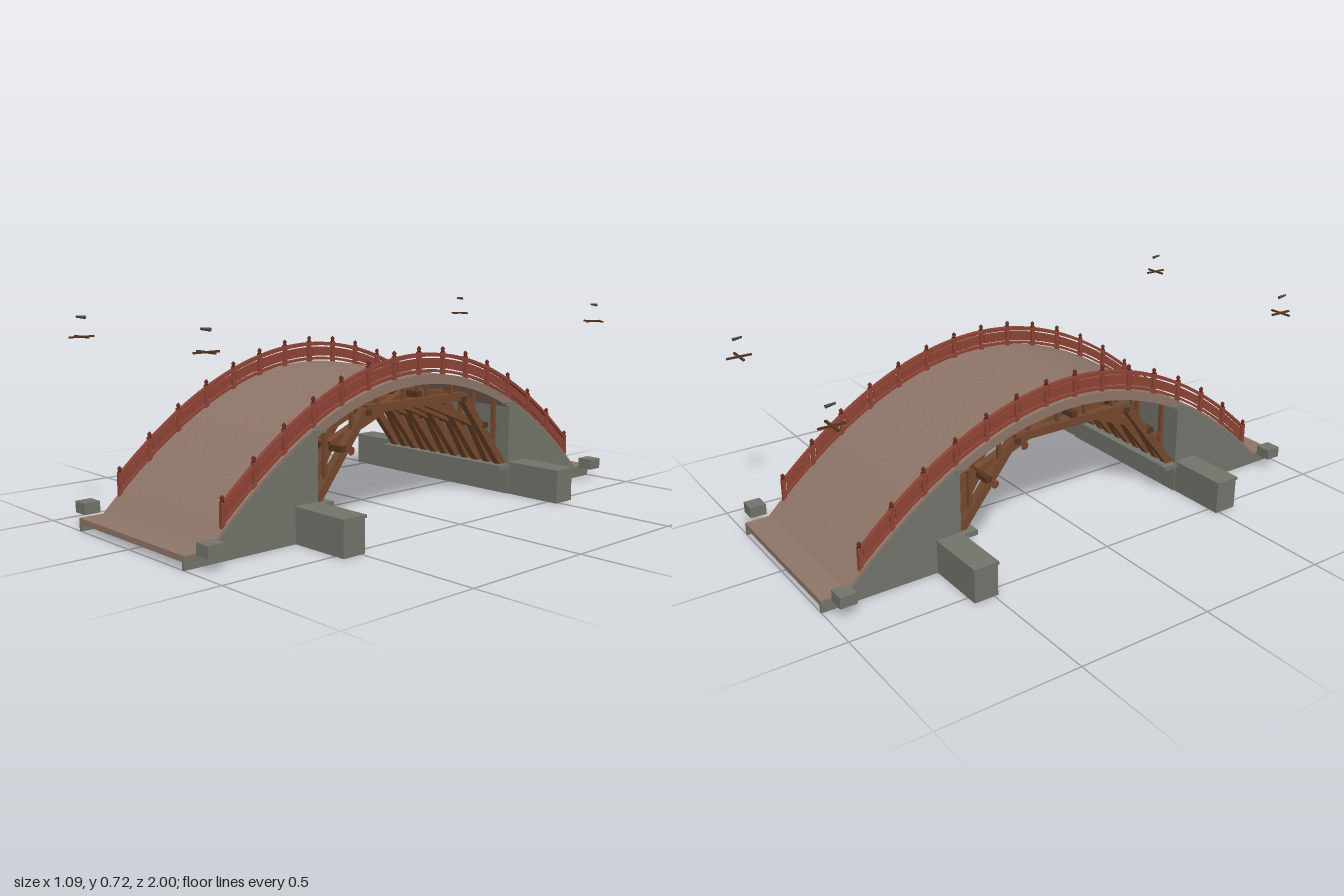
import * as THREE from 'three';
import { mergeGeometries } from 'three/addons/utils/BufferGeometryUtils.js';

const mat = (name, color, side = THREE.FrontSide) => {
  const m = new THREE.MeshStandardMaterial({ color, side });
  m.name = name;
  return m;
};

// height of the walking surface along the bridge
const arc = z => 0.5 - 0.55 * z * z;

const box = (x0, x1, y0, y1, z0, z1) =>
  new THREE.BoxGeometry(x1 - x0, y1 - y0, z1 - z0)
    .translate((x0 + x1) / 2, (y0 + y1) / 2, (z0 + z1) / 2);

// side profile of [z, y] points, extruded across x
const slab = (pts, x0, x1) => {
  const shape = new THREE.Shape(pts.map(p => new THREE.Vector2(p[0], p[1])));
  return new THREE.ExtrudeGeometry(shape, { depth: x1 - x0, bevelEnabled: false })
    .rotateY(-Math.PI / 2).translate(x1, 0, 0);
};

const curvePoints = (z0, z1, off, n) =>
  Array.from({ length: n + 1 }, (_, i) => {
    const z = z0 + (z1 - z0) * i / n;
    return [z, arc(z) + off];
  });

// band following the arch between two height offsets
const band = (z0, z1, lo, hi, x0, x1, n) =>
  slab([...curvePoints(z0, z1, lo, n), ...curvePoints(z1, z0, hi, n)], x0, x1);

// straight timber between two [z, y] points
const beam = (a, b, x, w, h) => {
  const dz = b[0] - a[0], dy = b[1] - a[1];
  return new THREE.BoxGeometry(w, h, Math.hypot(dz, dy))
    .rotateX(-Math.atan2(dy, dz))
    .translate(x, (a[1] + b[1]) / 2, (a[0] + b[0]) / 2);
};

export function createModel() {
  const root = new THREE.Group();
  root.name = 'archBridge';
  const paving = mat('paving', 0x8e7568);
  const stone = mat('stone', 0x72736a);
  const red = mat('redPaint', 0x8e4335);
  const darkRed = mat('darkRedPaint', 0x6a2c22);
  const wood = mat('wood', 0x73482e);
  const darkWood = mat('darkWood', 0x553420);
  const disc = mat('beamEnd', 0x7a4030, THREE.DoubleSide);
  const iron = mat('iron', 0x4a4a48);
  // merge the pieces of one part; extrusions have no index, so drop it everywhere
  const add = (name, parts, material) => {
    const pieces = parts.map(g => (g.index ? g.toNonIndexed() : g));
    const mesh = new THREE.Mesh(mergeGeometries(pieces), material);
    mesh.name = name;
    root.add(mesh);
  };

  // deck with paving courses and flat landings
  add('deck', [band(-0.91, 0.91, -0.035, -0.004, -0.31, 0.31, 48)], paving);
  const courses = [];
  const rows = 64;
  for (let i = 0; i < rows; i++) {
    const z0 = -0.91 + 1.82 * i / rows, z1 = z0 + 1.82 / rows;
    courses.push(beam([z0, arc(z0) - 0.003], [z1, arc(z1) - 0.003], 0, 0.62, 0.006));
  }
  add('pavingCourses', courses, paving);
  add('landings', [-1, 1].map(s => box(-0.31, 0.31, 0.025, 0.045, s * 0.95 - 0.05, s * 0.95 + 0.05)), paving);

  // hollow abutments, footings and ledges
  const walls = [], footings = [], ledges = [], blocks = [], strips = [];
  for (const s of [-1, 1]) {
    const span = (x0, x1, y0, y1, a, b) => box(x0, x1, y0, y1, Math.min(s * a, s * b), Math.max(s * a, s * b));
    const outline = [[0.48, 0], [1, 0], [1, 0.04], [0.91, 0.04], ...curvePoints(0.9, 0.48, -0.01, 12)]
      .map(([z, y]) => [s * z, y]);
    for (const x of [-0.305, 0.305]) walls.push(slab(outline, x - 0.006, x + 0.006));
    walls.push(span(-0.31, 0.31, 0, 0.36, 0.48, 0.5));
    walls.push(band(s * 0.49, s * 0.88, -0.05, -0.034, -0.3, 0.3, 12));
    footings.push(span(-0.54, 0.54, 0, 0.118, 0.485, 0.575));
    footings.push(span(-0.545, 0.545, 0.115, 0.125, 0.482, 0.578));
    ledges.push(span(-0.32, 0.32, 0.1, 0.118, 0.42, 0.485));
    for (const m of [-1, 1]) {
      ledges.push(box(m * 0.312 - 0.008, m * 0.312 + 0.008, 0.35, 0.36, s * 0.475 - 0.025, s * 0.475 + 0.025));
      blocks.push(box(m * 0.36 - 0.03, m * 0.36 + 0.03, 0.045, 0.085, s * 0.94 - 0.03, s * 0.94 + 0.03));
    }
    for (const z of [0.92, 0.95, 0.98]) strips.push(span(-0.295, 0.295, 0.018, 0.026, z - 0.006, z + 0.006));
  }
  add('abutmentWalls', walls, stone);
  add('footings', footings, stone);
  add('ledges', ledges, stone);
  add('cornerBlocks', blocks, stone);
  add('landingBattens', strips, darkWood);

  // railings: posts with finials, panels between rails
  const posts = [], finials = [], panels = [], rails = [], bays = 14, step = 1.7 / bays;
  const knob = new THREE.LatheGeometry([
    [0, 0], [0.008, 0], [0.005, 0.005], [0.008, 0.011], [0.006, 0.016], [0, 0.022],
  ].map(p => new THREE.Vector2(p[0], p[1])), 8);
  for (const x of [-0.297, 0.297]) {
    for (let i = 0; i <= bays; i++) {
      const z = -0.85 + step * i, y = arc(z);
      posts.push(box(x - 0.007, x + 0.007, y - 0.005, y + 0.08, z - 0.007, z + 0.007));
      finials.push(knob.clone().translate(x, y + 0.079, z));
      if (i < bays) panels.push(band(z + 0.013, z + step - 0.013, 0.021, 0.056, x - 0.004, x + 0.004, 4));
    }
    rails.push(band(-0.85, 0.85, 0.062, 0.075, x - 0.008, x + 0.008, 56));
    rails.push(band(-0.85, 0.85, 0.006, 0.016, x - 0.006, x + 0.006, 56));
  }
  add('railingPosts', posts, red);
  add('postFinials', finials, darkRed);
  add('railingPanels', panels, red);
  add('rails', rails, red);

  // interlaced timber arch: two alternating frame shapes
  const flatFrame = [[-0.47, 0.115], [-0.245, 0.4], [0.245, 0.4], [0.47, 0.115]];
  const peakFrame = [[-0.47, 0.115], [-0.36, 0.285], [0, 0.428], [0.36, 0.285], [0.47, 0.115]];
  const timbers = [], props = [], ties = [], ends = [];
  for (let i = 0; i < 11; i++) {
    const x = -0.28 + 0.056 * i, path = i % 2 ? peakFrame : flatFrame;
    for (let k = 1; k < path.length; k++) timbers.push(beam(path[k - 1], path[k], x, 0.03, 0.03));
  }
  // short props carrying the deck, on the outer and middle frames
  for (const x of [-0.28, -0.112, 0.112, 0.28]) {
    for (const s of [-1, 1]) {
      for (const [z, y] of [[0.425, 0.17], [0.305, 0.32], [0.185, 0.4], [0.06, 0.4]]) {
        props.push(box(x - 0.007, x + 0.007, y, arc(z) - 0.03, s * z - 0.007, s * z + 0.007));
      }
    }
  }
  // cross ties at the joints, with round end discs
  for (const [z, y] of [[0.36, 0.28], [0.24, 0.39]]) {
    for (const s of [-1, 1]) {
      ties.push(box(-0.3, 0.3, y - 0.01, y + 0.01, s * z - 0.012, s * z + 0.012));
      for (const m of [-1, 1]) {
        ends.push(new THREE.CircleGeometry(0.015, 12).rotateY(m * Math.PI / 2).translate(m * 0.34, y, s * z));
      }
    }
  }
  ties.push(box(-0.3, 0.3, 0.42, 0.44, -0.012, 0.012));
  add('archTimbers', timbers, wood);
  add('deckProps', props, wood);
  add('crossTies', ties, darkWood);
  add('tieEndDiscs', ends, disc);

  // hanging crossed sticks and small tips above the corner blocks
  const sticks = [], tips = [];
  for (const x of [-0.36, 0.36]) {
    for (const z of [-0.94, 0.94]) {
      sticks.push(box(x - 0.045, x + 0.045, 0.643, 0.649, z - 0.004, z + 0.004));
      sticks.push(box(x - 0.004, x + 0.004, 0.643, 0.649, z - 0.045, z + 0.045));
      tips.push(new THREE.CylinderGeometry(0.004, 0.006, 0.034, 6).rotateX(Math.PI / 2 - 0.12).translate(x, 0.712, z));
    }
  }
  add('crossedSticks', sticks, darkWood);
  add('lampTips', tips, iron);

  return root;
}
